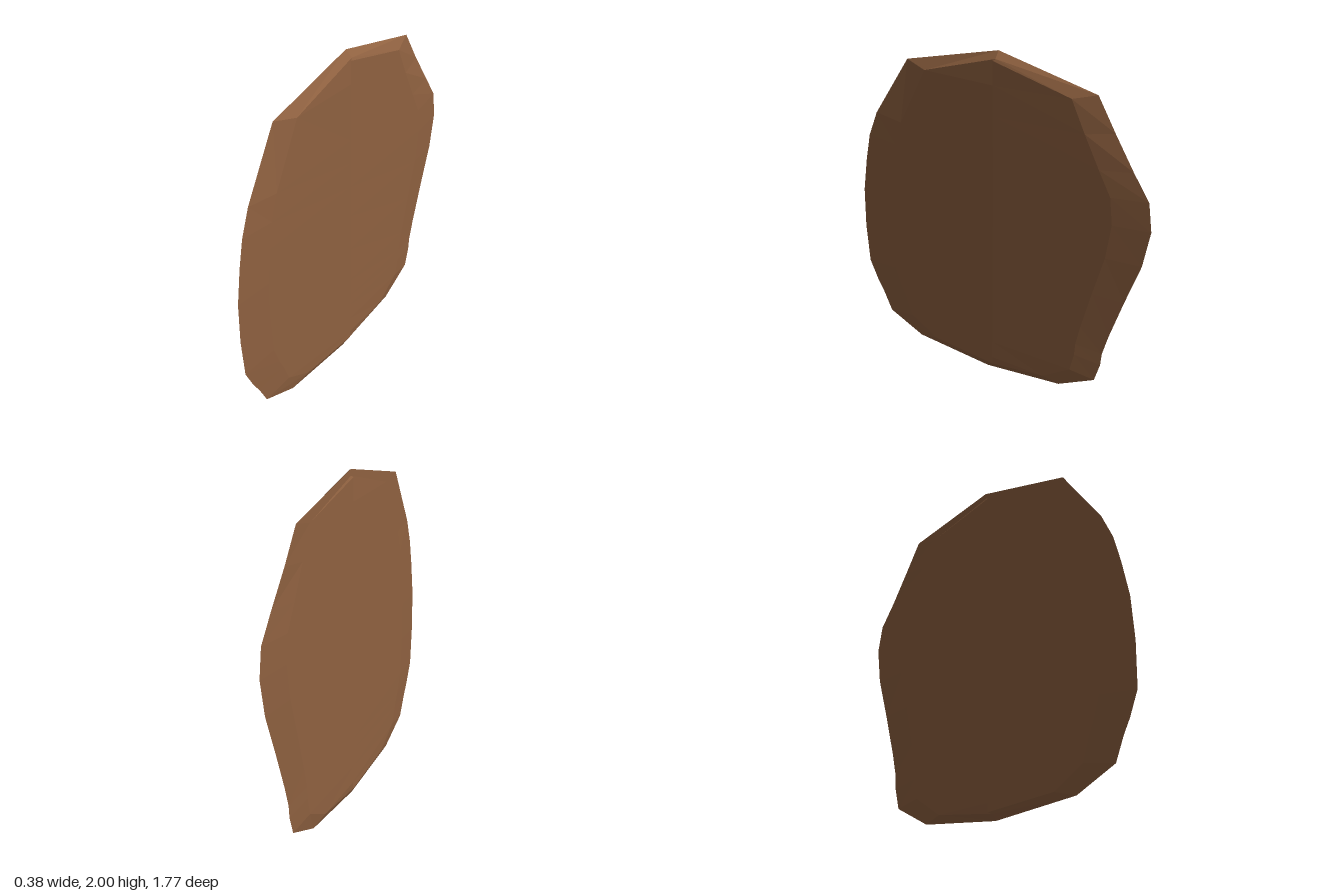
import * as THREE from 'three';

// Rim of the slab as [z, y], counter-clockwise when seen from +x
const RIM = [
  [-0.02, 2], [0.53, 1.865], [0.75, 1.52], [0.81, 1.37], [0.845, 1.21], [0.88, 1], [0.89, 0.75],
  [0.88, 0.5], [0.83, 0.37], [0.79, 0.29], [0.74, 0.165], [0.52, 0.05], [0.04, 0], [-0.43, 0.05],
  [-0.645, 0.17], [-0.675, 0.29], [-0.68, 0.37], [-0.71, 0.5], [-0.78, 0.75], [-0.855, 1],
  [-0.885, 1.21], [-0.86, 1.37], [-0.77, 1.51], [-0.66, 1.69], [-0.56, 1.865],
];
const SLOPE = -0.212; // the slab stands turned about the vertical axis

export function createModel() {
  const positions = [];
  const index = [];
  const n = RIM.length;

  // Each side: sharp rim, inner bevel ring, then a vertical ridge down the middle
  for (const side of [1, -1]) {
    const start = positions.length / 3;
    for (const [zScale, yScale, bulge] of [[1, 1, 0], [0.77, 0.965, 0.018], [0, 0.955, 0.024]]) {
      for (const [z, y] of RIM) {
        // the top of the rim leans towards -x
        const lean = bulge ? 0 : -0.018 * THREE.MathUtils.smoothstep(y, 1.4, 1.86);
        const pz = z * zScale;
        positions.push(SLOPE * pz + side * bulge + lean, 1 + (y - 1) * yScale, pz);
      }
    }
    for (let ring = 0; ring < 2; ring++) {
      for (let i = 0; i < n; i++) {
        const a = start + ring * n + i;
        const b = start + ring * n + ((i + 1) % n);
        const c = b + n;
        const d = a + n;
        if (side > 0) index.push(a, b, c, a, c, d);
        else index.push(a, c, b, a, d, c);
      }
    }
  }

  const geometry = new THREE.BufferGeometry();
  geometry.setAttribute('position', new THREE.Float32BufferAttribute(positions, 3));
  geometry.setIndex(index);
  geometry.computeVertexNormals();

  const slab = new THREE.Mesh(
    geometry,
    new THREE.MeshStandardMaterial({ color: 0x8f6140, flatShading: true, side: THREE.DoubleSide })
  );
  slab.name = 'slab';

  const model = new THREE.Group();
  model.name = 'thinSlab';
  model.add(slab);
  return model;
}
